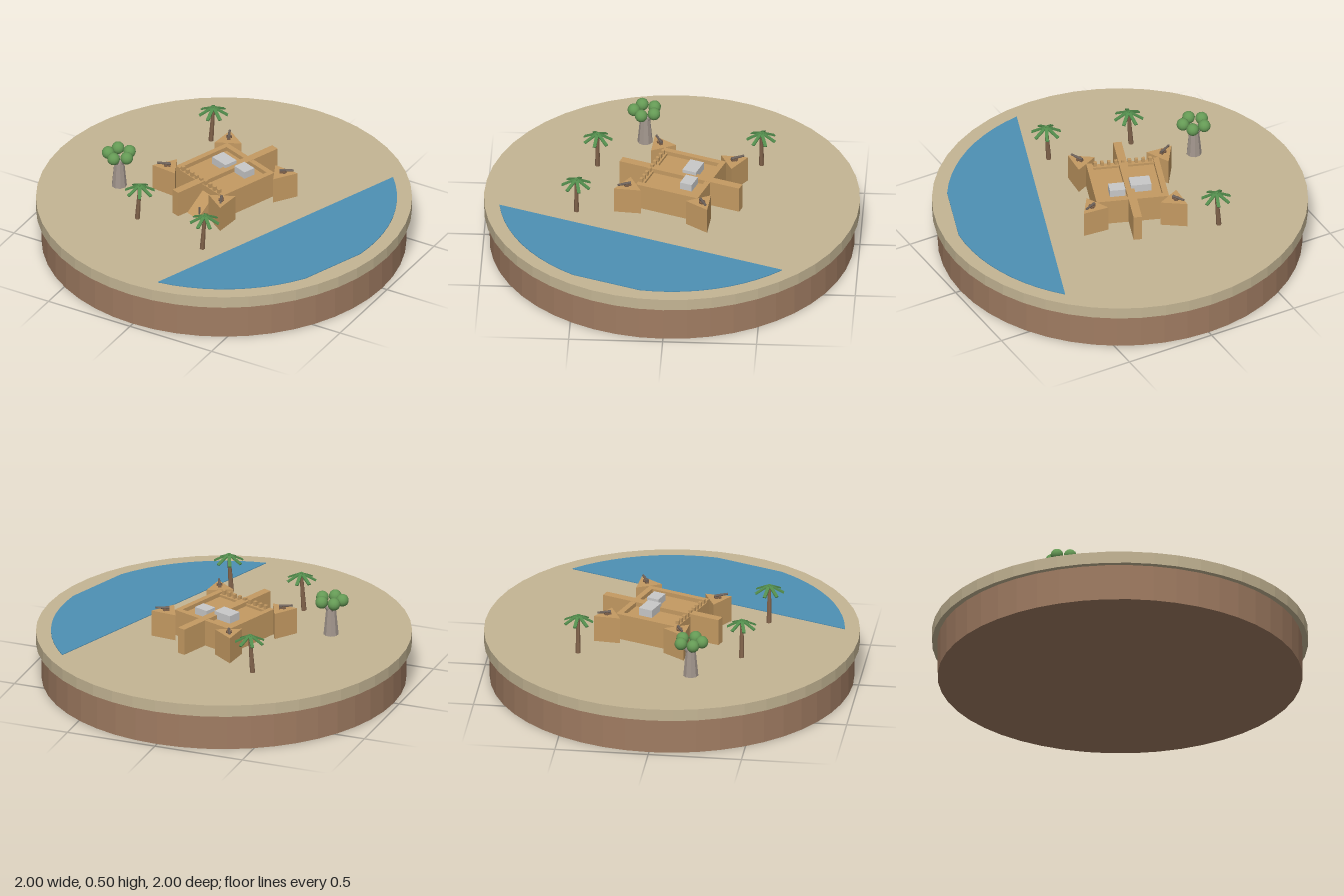
import * as THREE from 'three';

const GROUND = 0.265;
const mat = (name, color) => Object.assign(new THREE.MeshStandardMaterial({ color }), { name });

export function createModel() {
  const sand = mat('sand', 0xc4b594), earth = mat('earth', 0xa07c62), water = mat('water', 0x4e90b4);
  const clay = mat('clay', 0xc49a62), stone = mat('pale stone', 0xc8c8c8), wood = mat('wood', 0x80624a);
  const leaf = mat('palm leaf', 0x528c4c), crown = mat('round foliage', 0x659a55);
  const bark = mat('grey bark', 0xa1958c), iron = mat('iron', 0x6e625a);

  const add = (parent, name, geometry, material, x = 0, y = 0, z = 0) => {
    const m = new THREE.Mesh(geometry, material);
    m.name = name;
    m.position.set(x, y, z);
    parent.add(m);
    return m;
  };
  const group = (parent, name, x, y, z) => {
    const g = new THREE.Group();
    g.name = name;
    g.position.set(x, y, z);
    parent.add(g);
    return g;
  };
  // flat facets from any geometry
  const flat = (g) => {
    const f = g.toNonIndexed();
    f.computeVertexNormals();
    return f;
  };
  // box standing on its lower face
  const block = (parent, name, w, h, d, material, x, y, z) =>
    add(parent, name, new THREE.BoxGeometry(w, h, d), material, x, y + h / 2, z);
  // round rod between two points
  const rod = (parent, name, a, b, r0, r1, material, sides = 7) => {
    const from = new THREE.Vector3(...a), to = new THREE.Vector3(...b);
    const dir = to.clone().sub(from);
    const m = add(parent, name, flat(new THREE.CylinderGeometry(r1, r0, dir.length(), sides)), material);
    m.position.copy(from).add(to).multiplyScalar(0.5);
    m.quaternion.setFromUnitVectors(new THREE.Vector3(0, 1, 0), dir.normalize());
    return m;
  };

  const model = new THREE.Group();
  model.name = 'desertFort';

  // round island
  add(model, 'earthBase', flat(new THREE.CylinderGeometry(0.97, 0.97, 0.2, 48)), earth, 0, 0.1, 0);
  add(model, 'sandTop', flat(new THREE.CylinderGeometry(1, 1, GROUND - 0.2, 48)), sand, 0, (GROUND + 0.2) / 2, 0);

  // lake: two arcs joined by straight shores
  const shore = [];
  for (const [start, end] of [[-42.4, 8], [32, 82.5]]) {
    for (let i = 0; i <= 10; i++) {
      const a = THREE.MathUtils.degToRad(start + (end - start) * i / 10);
      shore.push(new THREE.Vector2(0.92 * Math.cos(a), -0.92 * Math.sin(a)));
    }
  }
  const lake = new THREE.ExtrudeGeometry(new THREE.Shape(shore), { depth: 0.004, bevelEnabled: false });
  add(model, 'lake', lake.rotateX(-Math.PI / 2), water, 0, GROUND, 0);

  // fort, turned on the island
  const fort = group(model, 'fort', -0.02, GROUND, -0.047);
  fort.rotation.y = -0.35;
  const H = 0.145;
  block(fort, 'courtyardRoof', 0.37, 0.122, 0.34, clay, 0, 0, 0);
  for (const s of [-1, 1]) block(fort, 'sideWall', 0.03, H, 0.356, clay, s * 0.18, 0, 0);
  block(fort, 'backWall', 0.33, H, 0.03, clay, 0, 0, -0.163);
  block(fort, 'frontWall', 0.33, 0.135, 0.03, clay, 0, 0, 0.163);
  block(fort, 'centralWall', 0.045, H + 0.001, 0.69, clay, 0, 0, 0);
  block(fort, 'largeRoofBlock', 0.11, 0.043, 0.078, stone, -0.06, 0.122, -0.045);
  block(fort, 'smallRoofBlock', 0.084, 0.04, 0.068, stone, 0.07, 0.122, -0.075);

  // merlons along the front wall
  for (let i = 0; i < 9; i++) block(fort, 'merlon', 0.017, 0.024, 0.017, clay, -0.148 + i * 0.037, 0.135, 0.166);

  // gate ramp and post
  const slope = new THREE.Shape([[0.17, 0], [0.285, 0], [0.17, 0.105]].map((p) => new THREE.Vector2(...p)));
  const ramp = new THREE.ExtrudeGeometry(slope, { depth: 0.085, bevelEnabled: false });
  add(fort, 'gateRamp', ramp.rotateY(-Math.PI / 2), clay, 0.112, 0, 0);
  block(fort, 'gatePost', 0.007, 0.06, 0.007, iron, 0.1, 0, 0.262);

  // three-sided bastions, each with a cannon pointing outwards
  for (const sx of [-1, 1]) for (const sz of [-1, 1]) {
    const bastion = group(fort, 'bastion', sx * 0.22, 0, sz * 0.21);
    bastion.rotation.y = Math.atan2(sx, sz);
    add(bastion, 'bastionTower', flat(new THREE.CylinderGeometry(0.083, 0.083, H, 3)), clay, 0, H / 2, 0);
    rod(bastion, 'cannonBarrel', [0, H + 0.014, -0.012], [0, H + 0.017, 0.06], 0.008, 0.006, iron);
    block(bastion, 'cannonCarriage', 0.018, 0.01, 0.035, wood, 0, H, 0.005);
    for (const s of [-1, 1]) rod(bastion, 'cannonWheel', [s * 0.01, H + 0.008, 0.012], [s * 0.015, H + 0.008, 0.012], 0.008, 0.008, wood, 8);
  }

  // palms with drooping blade leaves
  for (const [x, z, turn] of [[-0.33, -0.46, 0.1], [-0.28, 0.41, 0.5], [0.17, 0.5, 0.9]]) {
    const palm = group(model, 'palm', x, GROUND, z);
    rod(palm, 'palmTrunk', [-0.015, 0, 0], [0, 0.205, 0], 0.014, 0.009, wood);
    for (let i = 0; i < 7; i++) {
      const arm = group(palm, 'palmLeaf', 0, 0.21, 0);
      arm.rotation.y = turn + i * Math.PI * 2 / 7;
      const blade = add(arm, 'leafBlade', new THREE.BoxGeometry(0.018, 0.007, 0.088), leaf, 0, -0.017, 0.039);
      blade.rotation.x = 0.48;
    }
  }

  // thick-trunked tree with five round crowns
  const tree = group(model, 'thickTree', -0.545, GROUND, 0.17);
  add(tree, 'thickTrunk', flat(new THREE.CylinderGeometry(0.027, 0.041, 0.145, 9)), bark, 0, 0.0725, 0);
  for (let i = 0; i < 5; i++) {
    const a = Math.PI / 2 + i * Math.PI * 2 / 5;
    const c = Math.cos(a), s = Math.sin(a);
    rod(tree, 'branch', [c * 0.012, 0.135, s * 0.012], [c * 0.06, 0.19, s * 0.06], 0.009, 0.006, bark);
    add(tree, 'leafBall', new THREE.SphereGeometry(0.034, 14, 10), crown, c * 0.06, 0.196, s * 0.06);
  }
  return model;
}
